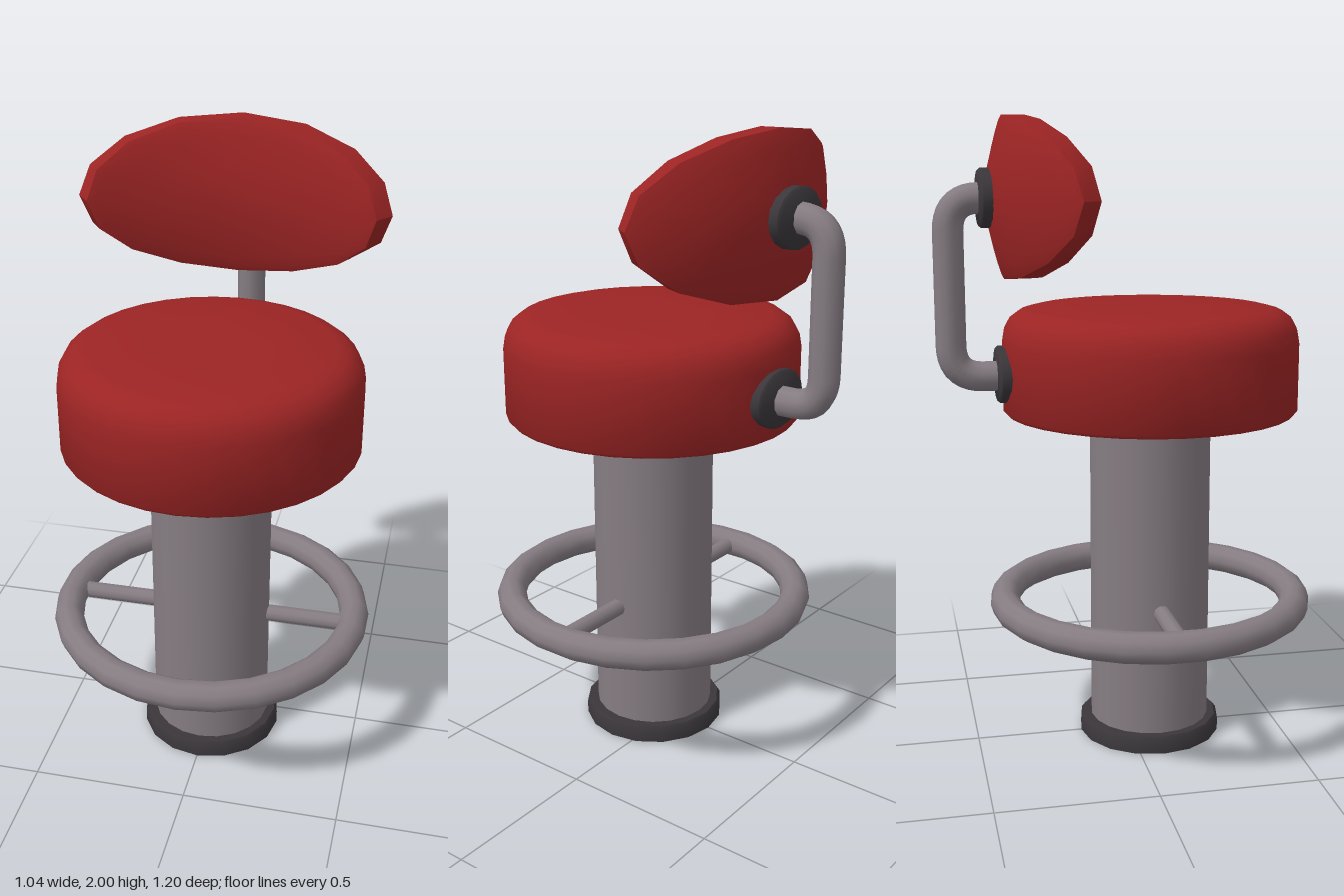
import * as THREE from 'three';
import { toCreasedNormals } from 'three/addons/utils/BufferGeometryUtils.js';

const red = new THREE.MeshStandardMaterial({ color: 0x9c2424 });
const steel = new THREE.MeshStandardMaterial({ color: 0x857c82 });
const dark = new THREE.MeshStandardMaterial({ color: 0x3a363a });

const v2 = (pts) => pts.map(([x, y]) => new THREE.Vector2(x, y));

export function createModel() {
  const model = new THREE.Group();
  const AXIS_Z = 0.075; // centre of column, seat and foot ring

  function add(name, geometry, material, x = 0, y = 0, z = 0) {
    const mesh = new THREE.Mesh(geometry, material);
    mesh.name = name;
    mesh.position.set(x, y, z);
    model.add(mesh);
    return mesh;
  }
  const lathe = (pts, segments) =>
    toCreasedNormals(new THREE.LatheGeometry(v2(pts), segments), 0.75);

  // Base foot and column
  add('base', lathe([[0, 0], [0.232, 0], [0.232, 0.042], [0.222, 0.055], [0, 0.055]], 16), dark, 0, 0, AXIS_Z);
  add('column', new THREE.CylinderGeometry(0.195, 0.195, 1.12, 20), steel, 0, 0.6, AXIS_Z);

  // Foot ring with two side struts
  const ring = new THREE.TorusGeometry(0.477, 0.048, 10, 26);
  ring.rotateX(Math.PI / 2);
  ring.rotateY(Math.PI / 2);
  add('footRing', ring, steel, 0, 0.46, AXIS_Z);
  for (const side of [1, -1]) {
    const strut = new THREE.CylinderGeometry(0.028, 0.028, 0.3, 10);
    strut.rotateZ(Math.PI / 2);
    add(side > 0 ? 'leftStrut' : 'rightStrut', strut, steel, side * 0.325, 0.46, AXIS_Z);
  }

  // Seat cushion, hollow underneath with a dark plate in the recess
  add('seat', lathe([
    [0.395, 1.16], [0.395, 1.1], [0.405, 1.086], [0.46, 1.086], [0.47, 1.098], [0.47, 1.31],
    [0.463, 1.35], [0.445, 1.383], [0.415, 1.405], [0.375, 1.415], [0.2, 1.419], [0, 1.42],
  ], 32), red, 0, 0, AXIS_Z);
  const plate = new THREE.CircleGeometry(0.4, 32);
  plate.rotateX(Math.PI / 2);
  add('seatPlate', plate, dark, 0, 1.15, AXIS_Z);

  // Backrest: a padded oval disc bent around a vertical axis
  const half = [[0, 0.085], [0.2, 0.084], [0.4, 0.077], [0.6, 0.067], [0.8, 0.054], [0.94, 0.043], [1, 0.035]];
  const profile = [...half.map(([r, t]) => [r, -t]), ...half.slice().reverse()];
  const pad = new THREE.LatheGeometry(v2(profile), 16);
  const p = pad.attributes.position;
  const R = 0.776;
  for (let i = 0; i < p.count; i++) {
    const angle = (p.getX(i) * 0.507) / R;
    const radius = R + p.getY(i);
    p.setXYZ(i, radius * Math.sin(angle), p.getZ(i) * 0.245, R - radius * Math.cos(angle));
  }
  add('backrest', toCreasedNormals(pad, 0.75), red, 0, 1.755, -0.35);

  // Bent support tube
  const pt = (y, z) => new THREE.Vector3(0, y, z);
  const path = new THREE.CurvePath();
  path.add(new THREE.LineCurve3(pt(1.21, -0.36), pt(1.21, -0.455)));
  path.add(new THREE.QuadraticBezierCurve3(pt(1.21, -0.455), pt(1.21, -0.553), pt(1.31, -0.553)));
  path.add(new THREE.LineCurve3(pt(1.31, -0.553), pt(1.655, -0.553)));
  path.add(new THREE.QuadraticBezierCurve3(pt(1.655, -0.553), pt(1.755, -0.553), pt(1.755, -0.455)));
  path.add(new THREE.LineCurve3(pt(1.755, -0.455), pt(1.755, -0.41)));
  add('backSupport', new THREE.TubeGeometry(path, 48, 0.047, 10), steel);

  // Oval mounting flanges
  for (const [name, y, z] of [['lowerFlange', 1.215, -0.392], ['upperFlange', 1.755, -0.438]]) {
    const flange = lathe([[0, -0.023], [0.12, -0.023], [0.12, 0.015], [0.11, 0.023], [0, 0.023]], 16);
    flange.rotateX(-Math.PI / 2);
    flange.scale(1, 0.75, 1);
    add(name, flange, dark, 0, y, z);
  }

  return model;
}
